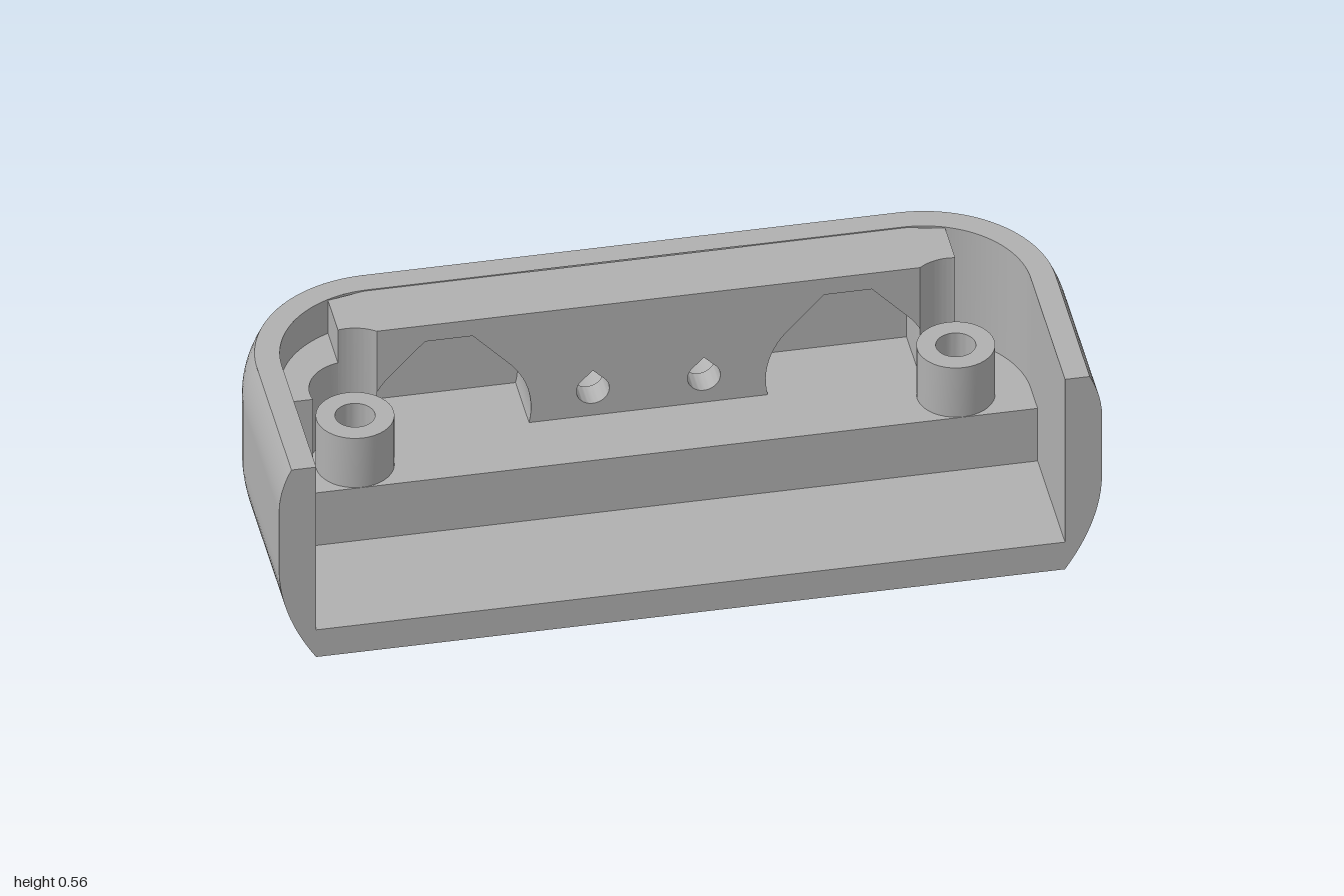
import * as THREE from 'three';
import { toCreasedNormals } from 'three/addons/utils/BufferGeometryUtils.js';

const H = 0.56, END = 1.62, WALL = 0.09, STEP = 0.235;
const POST = { x: 0.73, z: -0.045 };

// Inset of the outer wall at height y: curved in at the base and slightly at the rim
function inset(y) {
  if (y < 0.27) return WALL * (1 - y / 0.27) ** 2;
  return y > 0.44 ? 0.03 * ((y - 0.44) / 0.12) ** 2 : 0;
}

// U-shaped plan outline; s runs from the +x front end (-END) round the back to the -x end
function outline(s, d) {
  const u = Math.abs(s), side = s < 0 ? 1 : -1;
  let x = u, z = -0.385 + d;
  if (u > 1.2) { x = 1 - d; z = -0.035 + (u - 1.2); }
  else if (u > 0.65) {
    const t = (u - 0.65) / 0.55 * Math.PI / 2;
    x = 0.65 + (0.35 - d) * Math.sin(t);
    z = -0.035 - (0.35 - d) * Math.cos(t);
  }
  return [side * x, Math.min(z, 0.385)];
}

function onWall(s, y, d = inset(y)) {
  const [x, z] = outline(s, d);
  return new THREE.Vector3(x, y, z);
}

function outlinePoints(s0, s1, d, n = 80) {
  return Array.from({ length: n + 1 }, (_, i) => outline(s0 + (s1 - s0) * i / n, d));
}

// Polar radius of a teardrop with its point upwards
function dropRadius(t, r) {
  const off = Math.abs(t - Math.PI / 2);
  return off < Math.PI / 4 ? r / Math.cos(off - Math.PI / 4) : r;
}
function dropPoint(cx, cy, r, t) {
  const k = dropRadius(t, r);
  return [cx + k * Math.cos(t), cy + k * Math.sin(t)];
}

// Grid surface from a function of (u, v), both 0..1
function surface(nu, nv, f) {
  const geo = new THREE.PlaneGeometry(1, 1, nu, nv), p = geo.attributes.position;
  for (let i = 0; i < p.count; i++) {
    const v = f(p.getX(i) + 0.5, p.getY(i) + 0.5);
    p.setXYZ(i, v.x, v.y, v.z);
  }
  geo.computeVertexNormals();
  return geo;
}

// Outer wall surface with exact smooth normals; f gives [s, y]
function skin(nu, nv, f) {
  const coords = [];
  const geo = surface(nu, nv, (u, v) => {
    const c = f(u, v);
    coords.push(c);
    return onWall(...c);
  });
  const e = 0.002;
  coords.forEach(([s, y], i) => {
    const ds = onWall(s + e, y).sub(onWall(s - e, y));
    const lo = Math.max(0, y - e), hi = Math.min(H, y + e);
    const n = ds.cross(onWall(s, hi).sub(onWall(s, lo))).normalize();
    geo.attributes.normal.setXYZ(i, n.x, n.y, n.z);
  });
  return geo;
}

function shapeOf(points, holes = []) {
  const make = (C, pts) => new C(pts.map(([x, y]) => new THREE.Vector2(x, y)));
  const shape = make(THREE.Shape, points);
  shape.holes = holes.map(h => make(THREE.Path, h));
  return shape;
}

// Flat or extruded plan piece from [x, z] points at height y
function plan(points, holes, y, depth = 0) {
  const flip = a => a.map(([x, z]) => [x, -z]);
  const shape = shapeOf(flip(points), holes.map(flip));
  const geo = depth ? new THREE.ExtrudeGeometry(shape, { depth, bevelEnabled: false }) : new THREE.ShapeGeometry(shape);
  return geo.rotateX(-Math.PI / 2).translate(0, y, 0);
}

function ring(n, f) {
  return Array.from({ length: n }, (_, i) => f(i / n * Math.PI * 2));
}
const circle = (cx, cz, r) => ring(40, t => [cx + r * Math.cos(t), cz + r * Math.sin(t)]);

export function createModel() {
  const group = new THREE.Group();
  const grey = new THREE.MeshStandardMaterial({ color: 0xb0b0b0, side: THREE.DoubleSide });
  grey.name = 'greyPlastic';
  const add = (name, geo, crease = true) => {
    const mesh = new THREE.Mesh(crease ? toCreasedNormals(geo, 0.6) : geo, grey);
    mesh.name = name;
    group.add(mesh);
  };

  // Outer wall, with gaps left for the hole patches
  const wall = (s0, s1, y0 = 0, y1 = H) => add('outerWall', skin(
    Math.max(2, Math.ceil((s1 - s0) / 0.025)), Math.round((y1 - y0) / 0.02),
    (u, v) => [s0 + (s1 - s0) * u, y0 + (y1 - y0) * v]), false);
  wall(-END, -1.2); wall(-1.2, -0.65); wall(-0.65, -0.255);
  wall(-0.015, 0.015);
  wall(0.255, 0.65); wall(0.65, 0.69); wall(0.85, 1.2); wall(1.2, END);

  // Square wall patch with a teardrop opening, and the bore behind it
  function holedPatch(s, y, half, cy, r, zEnd) {
    wall(s - half, s + half, 0, y - half);
    wall(s - half, s + half, y + half, H);
    add('holeSurround', skin(64, 5, (u, v) => {
      const t = u * Math.PI * 2, c = Math.cos(t), n = Math.sin(t);
      const k = half / Math.max(Math.abs(c), Math.abs(n));
      const [hs, hy] = dropPoint(s, cy, r, t);
      return [THREE.MathUtils.lerp(s + k * c, hs, v), THREE.MathUtils.lerp(y + k * n, hy, v)];
    }), false);
    add('holeBore', surface(64, 1, (u, v) => {
      const p = onWall(...dropPoint(s, cy, r, u * Math.PI * 2));
      if (v > 0.5) p.z = zEnd;
      return p;
    }));
  }
  for (const s of [-0.135, 0.135]) holedPatch(s, 0.32, 0.12, 0.31, 0.075, -0.295);
  holedPatch(0.77, 0.16, 0.08, 0.16, 0.04, -0.21);

  // Cord channel turning down to the underside
  const cord = { x: -0.764, z: -0.21, r: 0.043 };
  for (const [h, start] of [[0.22, -Math.PI / 2], [0.12, Math.PI / 2]]) {
    add('cordChannel', new THREE.CylinderGeometry(cord.r, cord.r, h, 16, 1, true, start, Math.PI)
      .translate(cord.x, h / 2, cord.z));
  }

  // Underside, floor, raised step
  add('underside', plan(outlinePoints(-END, END, WALL, 160),
    [circle(POST.x, POST.z, 0.08), circle(-POST.x, POST.z, 0.08), circle(cord.x, cord.z, cord.r)], 0));
  add('floor', plan([[-0.91, 0.05], [-0.91, 0.385], [0.91, 0.385], [0.91, 0.05]], [], 0.08));
  add('stepFace', new THREE.PlaneGeometry(1.82, STEP - 0.08).translate(0, (STEP + 0.08) / 2, 0.05));
  add('stepTop', plan(outlinePoints(-1.285, 1.285, WALL, 160),
    [circle(POST.x, POST.z, 0.07), circle(-POST.x, POST.z, 0.07)], STEP));

  // Inner walls and rim
  for (const k of [-1, 1]) {
    add('innerWall', surface(70, 1, (u, v) => onWall(k * (0.26 + (END - 0.26) * u), 0.08 + (H - 0.08) * v, WALL)), true);
  }
  add('rim', plan([...outlinePoints(-END, END, 0.03, 160), ...outlinePoints(END, -END, WALL, 160)], [], H));

  // Front edge of side walls and floor
  const edge = Array.from({ length: 29 }, (_, i) => [1 - inset(i * 0.02), i * 0.02]);
  edge.push([0.91, H], [0.91, 0.08]);
  const mirrored = edge.map(([x, y]) => [-x, y]).reverse();
  add('frontEdge', new THREE.ShapeGeometry(shapeOf([...edge, ...mirrored])).translate(0, 0, 0.385));

  // Back block with two pockets and two stepped teardrop holes
  const top = 0.557, pocket = [];
  for (let i = 0; i <= 12; i++) {
    const t = -0.227 + (Math.PI / 4 + 0.227) * i / 12;
    pocket.push([0.2 * Math.cos(t), 0.28 + 0.2 * Math.sin(t)]);
  }
  pocket.push([0.058, 0.51]);
  const arch = [...pocket.map(([x, y]) => [0.485 - x, y]), ...[...pocket].reverse().map(([x, y]) => [0.485 + x, y])]
    .filter(([x]) => x < 0.655);
  arch.push([0.66, 0.377], [0.66, top]);
  const block = [...arch, ...[...arch].reverse().map(([x, y]) => [-x, y])];
  for (const [z, depth, r] of [[-0.295, 0.095, 0.075], [-0.2, 0.07, 0.04]]) {
    const holes = [-0.135, 0.135].map(x => ring(48, t => dropPoint(x, 0.31, r, t)));
    add('backBlock', new THREE.ExtrudeGeometry(shapeOf(block, holes), { depth, bevelEnabled: false }).translate(0, 0, z));
  }

  // Screw posts, and block ends hollowed around them
  const aroundPost = (a0, a1, k) => Array.from({ length: 17 }, (_, i) => {
    const a = a0 + (a1 - a0) * i / 16;
    return [k * (POST.x + 0.11 * Math.cos(a)), POST.z + 0.11 * Math.sin(a)];
  });
  const postProfile = [[0.08, 0], [0.075, 0.03], [0.05, 0.055], [0.048, 0.38], [0.094, 0.38], [0.094, STEP]]
    .map(([r, y]) => new THREE.Vector2(r, y));
  for (const k of [-1, 1]) {
    add('screwPost', new THREE.LatheGeometry(postProfile, 40).translate(k * POST.x, 0, POST.z));
    add('blockEnd', plan([[k * 0.66, -0.13], [k * 0.66, -0.295], [k * 0.75, -0.275],
      ...aroundPost(-1.388, -2.26, k)], [], STEP, top - STEP));
  }

  // Corner ledge beside one post, above the cord channel
  add('cornerLedge', plan([[-0.91, -0.02], ...aroundPost(0.229, -1.388, -1),
    ...outlinePoints(0.788, 1.2, WALL, 20)], [], STEP, 0.46 - STEP));

  return group;
}
